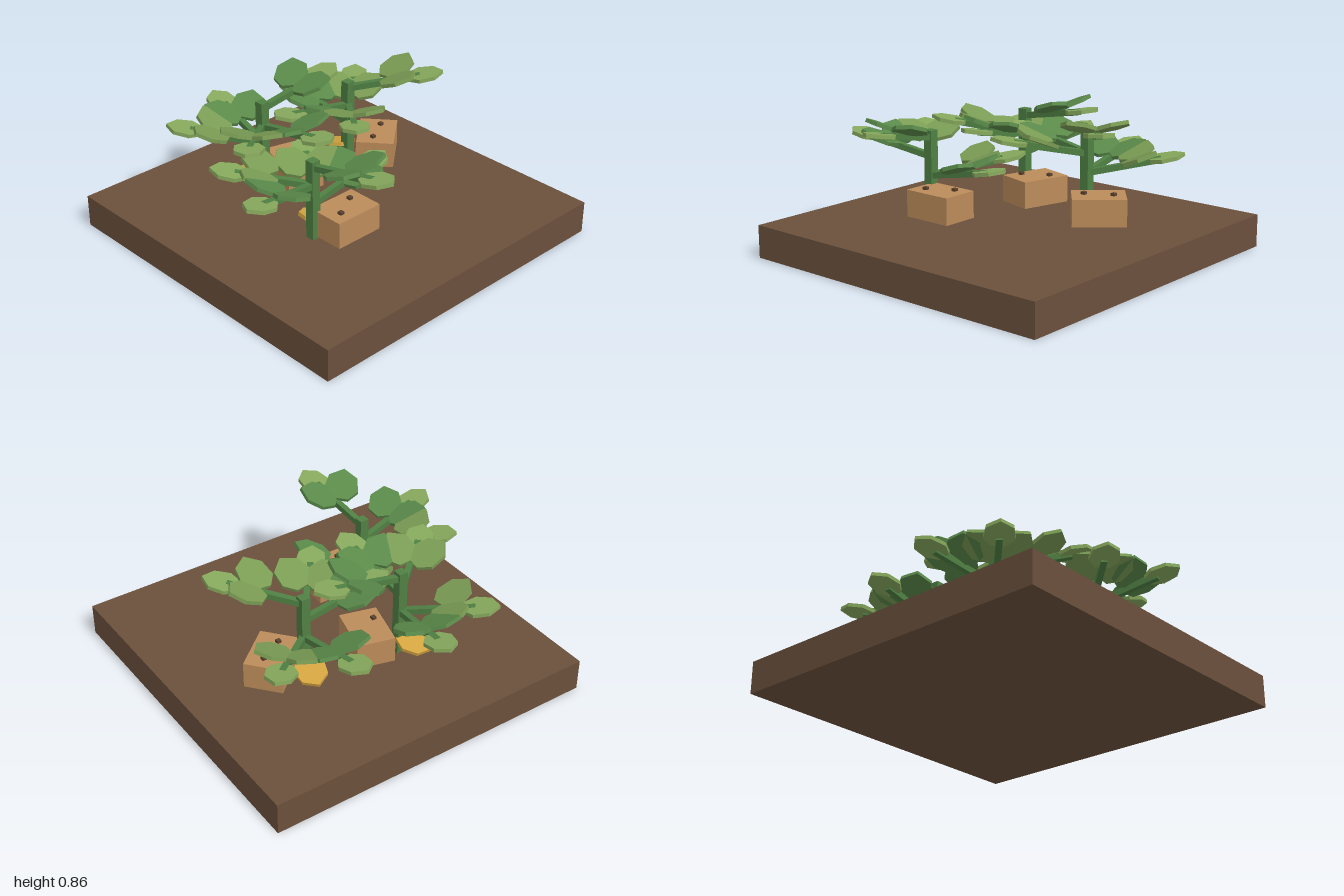
import * as THREE from 'three';

const mat = (name, color, extra = {}) => {
  const m = new THREE.MeshStandardMaterial({ color, ...extra });
  m.name = name;
  return m;
};

export function createModel() {
  const soil = mat('soil brown', 0x6b503c);
  const stemGreen = mat('stem green', 0x4f8043);
  const darkGreen = mat('dark leaf green', 0x5a8a4a);
  const midGreen = mat('mid leaf green', 0x7a9c54);
  const lightGreen = mat('light leaf green', 0x86a85c);
  const tan = mat('tuber tan', 0xbc8c5a);
  const eyeBrown = mat('eye brown', 0x5a412e);
  const yellow = mat('withered yellow', 0xd4a440);

  const root = new THREE.Group();
  root.name = 'plantBed';

  const box = (name, w, h, d, x, y, z, material, parent) => {
    const m = new THREE.Mesh(new THREE.BoxGeometry(w, h, d), material);
    m.name = name;
    m.position.set(x, y, z);
    parent.add(m);
    return m;
  };

  // Seven-sided leaf blade, growing from its base along +x
  const outline = [[0, -0.24], [0.3, -0.5], [0.74, -0.42], [1, 0], [0.74, 0.42], [0.3, 0.5], [0, 0.24]];
  const leafGeometry = (length, width) => {
    const shape = new THREE.Shape(outline.map(([u, v]) => new THREE.Vector2(u * length, v * width)));
    const g = new THREE.ExtrudeGeometry(shape, { depth: 0.022, bevelEnabled: false });
    return g.rotateX(-Math.PI / 2).translate(0, -0.011, 0);
  };
  const sideLeaf = leafGeometry(0.22, 0.2);
  const tipLeaf = leafGeometry(0.2, 0.17);
  const lowLeaf = leafGeometry(0.2, 0.18);

  const addLeaf = (name, geometry, material, parent, pos, turn, pitch, roll = 0) => {
    const m = new THREE.Mesh(geometry, material);
    m.name = name;
    m.position.set(...pos);
    m.rotation.set(roll, turn, pitch, 'YZX');
    parent.add(m);
  };

  // One branch with two side leaflets and a tip leaflet
  const addBranch = (plant, y, angle, sideMaterial) => {
    const b = new THREE.Group();
    b.name = 'branch';
    b.position.y = y;
    b.rotation.set(0, -angle, 0.18, 'YZX');
    box('branchStalk', 0.42, 0.035, 0.035, 0.21, 0, 0, stemGreen, b);
    for (const s of [-1, 1]) {
      addLeaf('sideLeaf', sideLeaf, sideMaterial, b, [0.225, 0.02, 0.015 * s], -s * 0.78, 0.24);
    }
    addLeaf('tipLeaf', tipLeaf, lightGreen, b, [0.355, 0.005, 0], 0, 0);
    plant.add(b);
  };

  // Soil slab
  box('soilSlab', 2, 0.19, 2, 0, 0.095, 0, soil, root);

  const deg = Math.PI / 180;
  const plants = [
    { x: -0.39, z: 0.24, top: 0.695, turn: 0, tuberTurn: 0, darkParity: 0 },
    { x: -0.21, z: -0.37, top: 0.75, turn: -82, tuberTurn: 75, darkParity: 0 },
    { x: 0.34, z: -0.25, top: 0.735, turn: -41, tuberTurn: 40, darkParity: 1 },
  ];

  for (const p of plants) {
    const plant = new THREE.Group();
    plant.name = 'plant';
    plant.position.set(p.x, 0, p.z);
    root.add(plant);

    // Stem
    box('stem', 0.054, p.top - 0.22, 0.054, 0, (p.top + 0.22) / 2, 0, stemGreen, plant);

    // Five branches spiralling round the stem at three heights
    for (let i = 0; i < 5; i++) {
      const y = p.top - 0.262 + (i % 3) * 0.11;
      const angle = (p.turn - 137.5 * i) * deg;
      addBranch(plant, y, angle, i % 2 === p.darkParity ? darkGreen : midGreen);
    }

    // Withered low leaf
    addLeaf('witheredLeaf', lowLeaf, yellow, plant, [0, 0.325, 0], -(p.turn - 40) * deg, -0.25, 0.15);

    // Boxy tuber with two eyes on top
    const tuber = box('tuber', 0.3, 0.155, 0.22, 0.153, 0.31, 0.09, tan, plant);
    tuber.rotation.y = p.tuberTurn * deg;
    for (const s of [-1, 1]) {
      box('tuberEye', 0.025, 0.03, 0.025, 0.153 + 0.072 * s, 0.388, 0.09 - 0.04 * s, eyeBrown, plant);
    }
  }
  return root;
}
